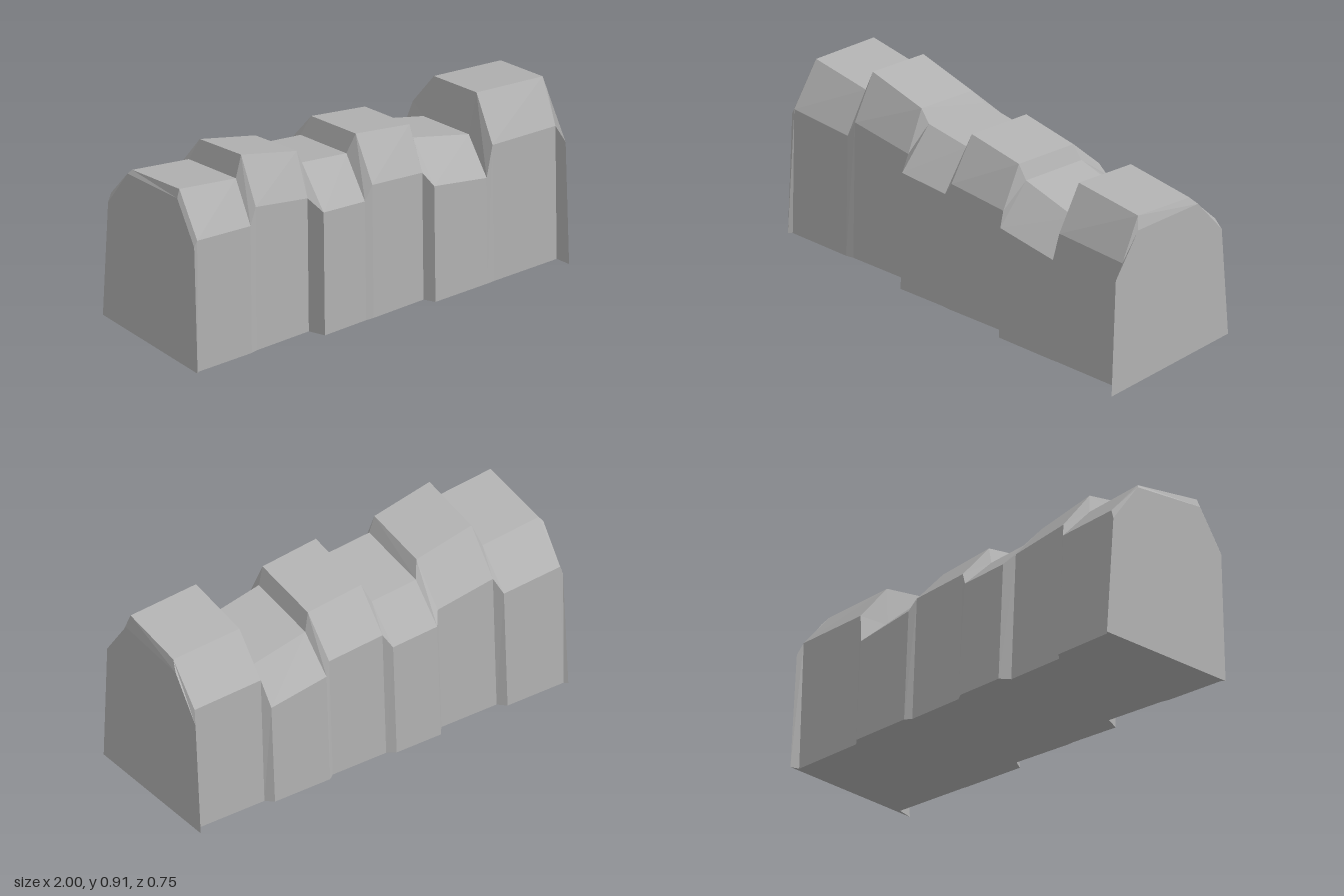
import * as THREE from 'three';

// Cross-sections along x: [x, ridge y, front shoulder y, front base z, ridge z, back base z]
const stations = [
  [-1.0, 0.80, 0.61, 0.365, 0.205, -0.375],
  [-0.985, 0.84, 0.64, 0.35, 0.20, -0.36],
  [-0.68, 0.81, 0.62, 0.325, 0.20, -0.36],
  [-0.645, 0.913, 0.70, 0.315, 0.19, -0.325],
  [-0.345, 0.85, 0.65, 0.285, 0.19, -0.325],
  [-0.31, 0.78, 0.60, 0.36, 0.18, -0.37],
  [-0.07, 0.76, 0.58, 0.335, 0.18, -0.37],
  [-0.03, 0.852, 0.65, 0.335, 0.195, -0.345],
  [0.26, 0.82, 0.62, 0.305, 0.195, -0.345],
  [0.29, 0.74, 0.565, 0.355, 0.18, -0.367],
  [0.59, 0.675, 0.515, 0.33, 0.18, -0.367],
  [0.625, 0.875, 0.665, 0.325, 0.19, -0.335],
  [0.985, 0.855, 0.65, 0.295, 0.185, -0.335],
  [1.0, 0.79, 0.59, 0.37, 0.20, -0.375],
];

// Six-sided outline: front base, front shoulder, front ridge, back ridge, back shoulder, back base
function section([x, top, shoulder, front, ridge, back], i) {
  const end = i === 0 || i === stations.length - 1;
  return [
    [x, 0, front],
    [x, shoulder, front - (end ? 0.027 : 0.01)],
    [x, top, ridge],
    [x, top - (end ? 0.03 : 0.05), back + 0.192],
    [x, top * 0.73 - (end ? 0.015 : 0), back + (end ? 0.04 : 0.028)],
    [x, 0, back],
  ];
}

function loft(sections) {
  const pos = [];
  const tri = (a, b, c) => pos.push(...a, ...b, ...c);
  const sides = sections[0].length;
  // Skin between neighbouring sections, including the underside
  for (let i = 0; i < sections.length - 1; i++) {
    const s = sections[i], t = sections[i + 1];
    for (let k = 0; k < sides; k++) {
      const n = (k + 1) % sides;
      tri(s[k], t[k], t[n]);
      tri(s[k], t[n], s[n]);
    }
  }
  // Flat end caps
  const first = sections[0], last = sections[sections.length - 1];
  for (let k = 1; k < sides - 1; k++) {
    tri(first[0], first[k], first[k + 1]);
    tri(last[0], last[k + 1], last[k]);
  }
  const geo = new THREE.BufferGeometry();
  geo.setAttribute('position', new THREE.Float32BufferAttribute(pos, 3));
  geo.computeVertexNormals(); // unshared corners give flat facets
  return geo;
}

export function createModel() {
  const stone = new THREE.MeshStandardMaterial({ color: 0xb2b2b2 });
  stone.name = 'grey stone';

  const wall = new THREE.Mesh(loft(stations.map(section)), stone);
  wall.name = 'steppedStoneWall';

  const model = new THREE.Group();
  model.name = 'stoneWall';
  model.add(wall);
  return model;
}
